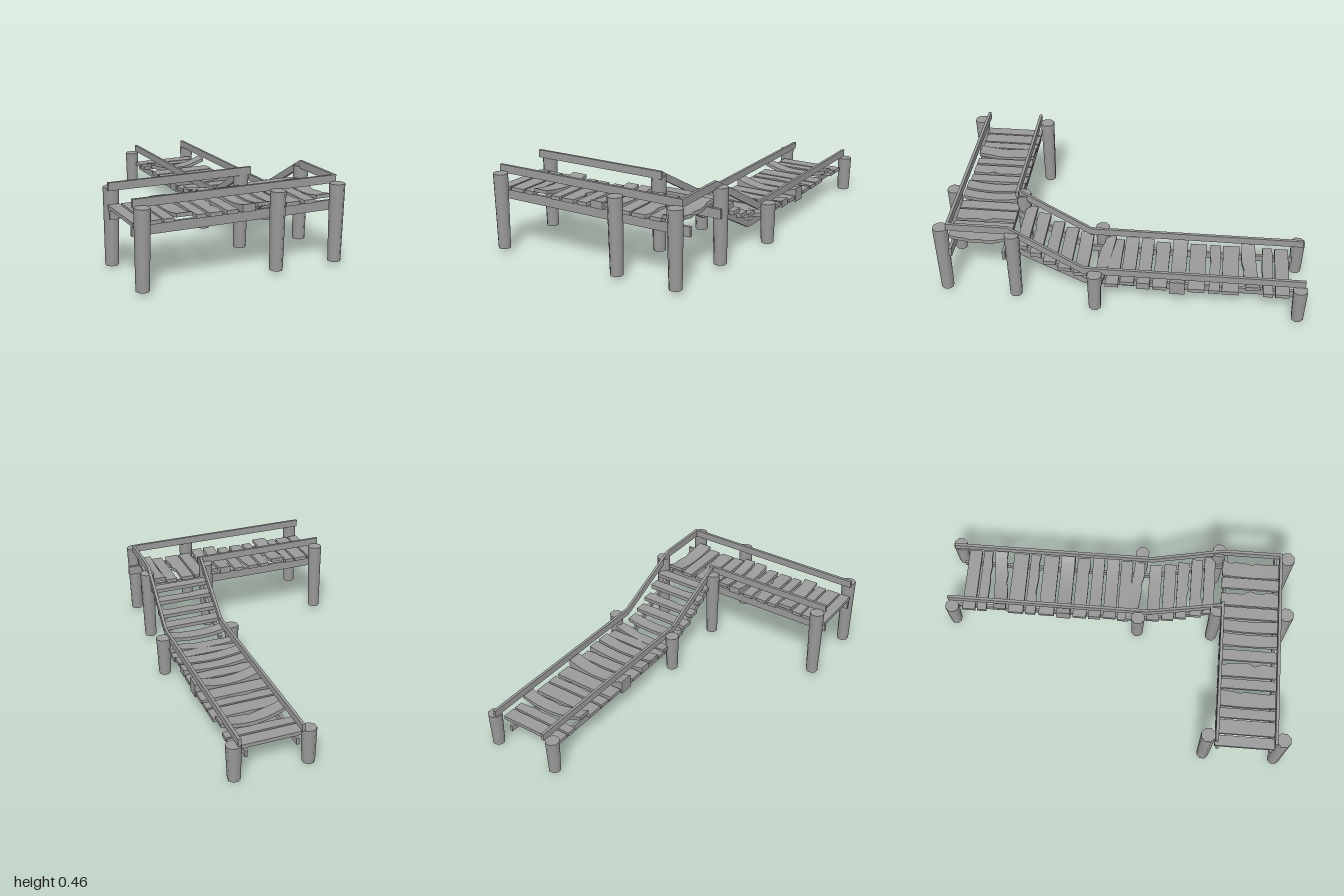
import * as THREE from 'three';

const material = new THREE.MeshStandardMaterial({ color: 0x9a9a9a, flatShading: true });
const postMaterial = new THREE.MeshStandardMaterial({ color: 0x9a9a9a });

// Small seeded generator for the rough plank edges
let seed = 7;
const rand = () => (seed = (seed * 16807) % 2147483647) / 2147483647;

function add(group, name, geometry, mat = material) {
  const mesh = new THREE.Mesh(geometry, mat);
  mesh.name = name;
  group.add(mesh);
  return mesh;
}

// Beam between two points: vertical end cuts, given height and thickness
function beam(group, name, a, b, height, thick = 0.016) {
  const geo = new THREE.BoxGeometry(1, 1, 1);
  const p = geo.attributes.position;
  const start = new THREE.Vector3(...a), end = new THREE.Vector3(...b);
  const dir = end.clone().sub(start).setY(0).normalize();
  const v = new THREE.Vector3();
  for (let i = 0; i < p.count; i++) {
    const side = p.getZ(i) * thick, up = p.getY(i) * height;
    v.lerpVectors(start, end, p.getX(i) + 0.5);
    p.setXYZ(i, v.x - dir.z * side, v.y + up, v.z + dir.x * side);
  }
  geo.computeVertexNormals();
  add(group, name, geo);
}

// Plank along x: lift raises both ends, flare thickens them,
// skew slants the plank, wave roughens one edge
function plank(length, width, thick, lift = 0, flare = 0, skew = 0, wave = 0) {
  const n = 8;
  const geo = new THREE.BoxGeometry(length, thick, width, n, 1, 1);
  const p = geo.attributes.position;
  const rough = Array.from({ length: n + 1 }, () => -rand() * wave);
  for (let i = 0; i < p.count; i++) {
    const t = p.getX(i) / length;
    const bend = 4 * t * t;
    const edge = p.getZ(i) > 0 ? rough[Math.round((t + 0.5) * n)] : 0;
    p.setY(i, p.getY(i) * (1 + flare * bend) + lift * bend);
    p.setZ(i, p.getZ(i) + edge + skew * t);
  }
  geo.computeVertexNormals();
  return geo;
}

// Tapered eight-sided post with its flats facing the axes
function post(group, name, x, z, bottom, top) {
  const h = top - bottom;
  const mesh = add(group, name, new THREE.CylinderGeometry(0.041, 0.034, h, 8), postMaterial);
  mesh.rotation.y = Math.PI / 8;
  mesh.position.set(x, bottom + h / 2, z);
}

export function createModel() {
  const model = new THREE.Group();
  model.name = 'boardwalk';
  const section = (name) => {
    const g = new THREE.Group();
    g.name = name;
    model.add(g);
    return g;
  };

  // Upper deck: posts, joists, rails
  const upper = section('upperDeck');
  for (const [x, z] of [[-0.567, 0.552], [-0.567, 0.957], [0.155, 0.957], [0.497, 0.957], [0.155, 0.567], [0.521, 0.567]])
    post(upper, 'upperPost', x, z, 0.02, 0.43);
  for (const z of [0.613, 0.902]) beam(upper, 'upperJoist', [-0.6, 0.304, z], [0.55, 0.304, z], 0.051);
  beam(upper, 'frontRail', [-0.6, 0.443, 0.914], [0.512, 0.443, 0.914], 0.042);
  beam(upper, 'backRail', [-0.6, 0.443, 0.597], [0.195, 0.443, 0.597], 0.042);
  beam(upper, 'endRail', [0.505, 0.443, 0.92], [0.505, 0.443, 0.59], 0.042);

  // Upper planks: x start, x end, lift, flare, skew, wave
  for (const [a, b, ...shape] of [
    [-0.6, -0.54], [-0.53, -0.45], [-0.44, -0.385], [-0.375, -0.285, 0.02, 0, 0, 0.012],
    [-0.27, -0.215], [-0.2, -0.115, 0, 0, 0, 0.025], [-0.105, -0.04, 0, 0, 0, 0.01],
    [-0.02, 0.05, 0.01, 1], [0.065, 0.13, 0.02], [0.147, 0.215],
    [0.225, 0.32, 0, 0, 0, 0.025], [0.33, 0.395], [0.4, 0.495, 0.02, 0, 0, 0.015],
  ]) {
    const m = add(upper, 'upperPlank', plank(0.328, b - a, 0.02, ...shape));
    m.rotation.y = Math.PI / 2;
    m.position.set((a + b) / 2, 0.339, 0.757);
  }

  // Lower deck: posts, joists, rails
  const lower = section('lowerDeck');
  for (const [x, z, top] of [[0.155, 0.128, 0.225], [0.566, 0.128, 0.225], [0.155, -0.963, 0.2], [0.553, -0.963, 0.2]])
    post(lower, 'lowerPost', x, z, 0, top);
  for (const x of [0.2, 0.476]) beam(lower, 'lowerJoist', [x, 0.107, -0.935], [x, 0.107, 0.19], 0.036);
  for (const x of [0.195, 0.53]) beam(lower, 'lowerRail', [x, 0.222, -0.99], [x, 0.222, 0.19], 0.04);

  // Lower planks: z start, z end, lift, flare, skew, wave
  for (const [a, b, ...shape] of [
    [-0.912, -0.837], [-0.825, -0.765, 0, 0, 0, 0.01], [-0.74, -0.66, 0.04, 0, -0.03, 0.01], [-0.642, -0.552],
    [-0.54, -0.475, 0, 0, 0, 0.015], [-0.46, -0.37], [-0.355, -0.273, 0.009, 2.8], [-0.258, -0.173, 0, 0, 0, 0.015],
    [-0.165, -0.095, 0.009, 0.9], [-0.08, -0.005, 0.02], [0.005, 0.075, 0, 0, 0, 0.01], [0.07, 0.14, 0.02, 0, 0.04, 0.015],
  ]) {
    const m = add(lower, 'lowerPlank', plank(0.38, b - a, 0.021, ...shape));
    m.position.set(0.353, 0.136, (a + b) / 2);
  }

  // Stairs: stringers and sloped handrails linking the decks
  const stairs = section('stairs');
  for (const [x0, x1] of [[0.2, 0.195], [0.476, 0.48]])
    beam(stairs, 'stringer', [x0, 0.107, 0.19], [x1, 0.318, 0.595], 0.04);
  for (const [x0, x1] of [[0.195, 0.175], [0.53, 0.505]])
    beam(stairs, 'stairRail', [x0, 0.222, 0.19], [x1, 0.443, 0.59], 0.042);

  // Treads: z start, z end, centre height, lift, flare, skew, wave
  for (const [a, b, y, ...shape] of [
    [0.177, 0.25, 0.155, 0.02], [0.263, 0.333, 0.2], [0.342, 0.41, 0.239, 0, 0, 0, 0.01],
    [0.418, 0.49, 0.29, 0, 0.3, 0, 0.012], [0.49, 0.552, 0.336],
  ]) {
    const m = add(stairs, 'tread', plank(0.35, b - a, 0.022, ...shape));
    m.position.set(0.337, y, (a + b) / 2);
  }

  return model;
}
